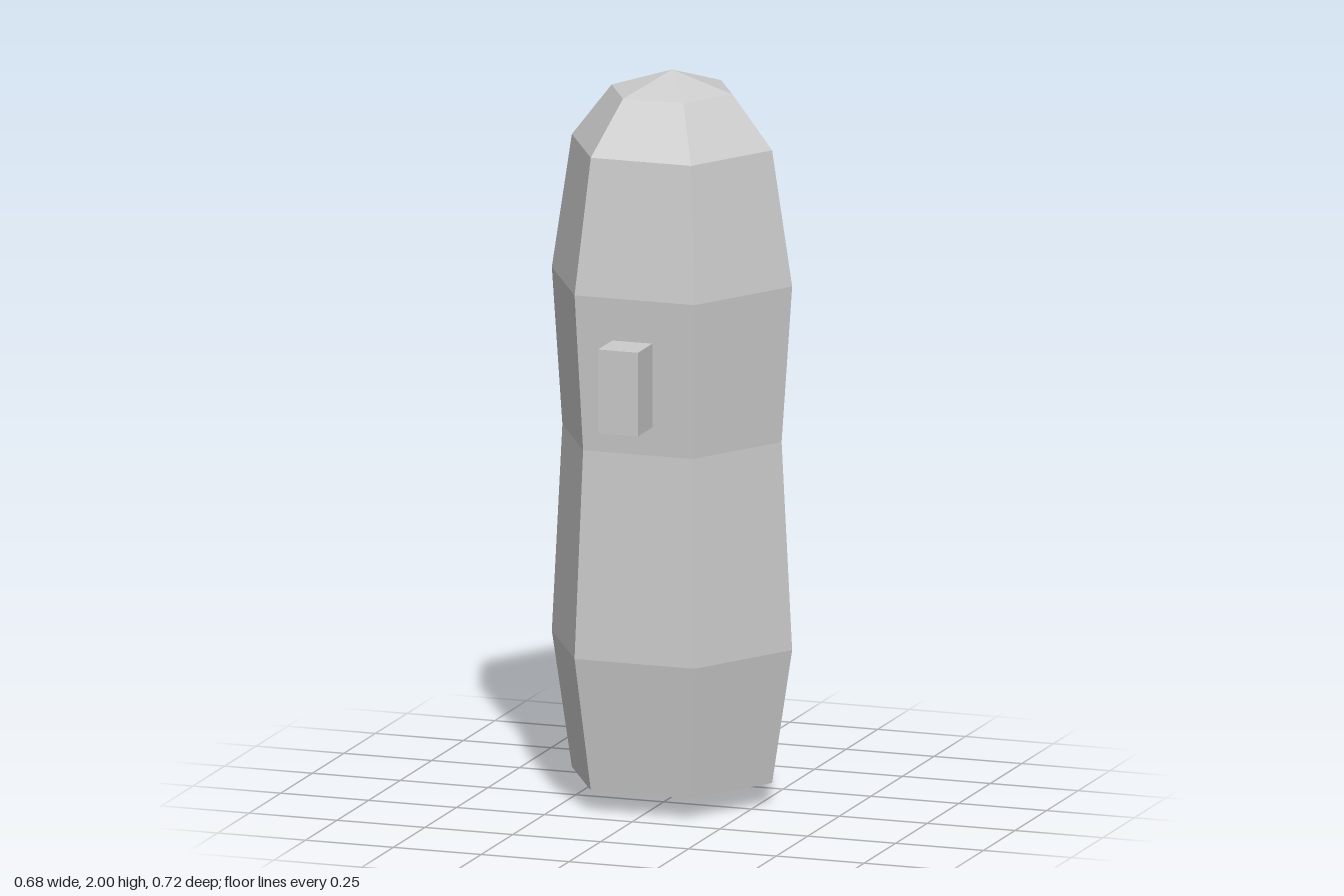
import * as THREE from 'three';

export function createModel() {
  const group = new THREE.Group();
  const grey = new THREE.MeshStandardMaterial({ color: 0xcccccc, flatShading: true });
  grey.name = 'light grey';

  // Six-sided body with a slight waist, pointed base and domed top
  const profile = [
    [0, 0], [0.285, 0.06], [0.342, 0.43], [0.312, 1.0],
    [0.342, 1.43], [0.285, 1.8], [0.172, 1.945], [0, 2],
  ].map(([r, y]) => new THREE.Vector2(r, y));
  const body = new THREE.Mesh(new THREE.LatheGeometry(profile, 6, Math.PI / 2), grey);
  body.name = 'body';
  body.position.z = -0.066;
  group.add(body);

  // Small block floating in front of the body
  const block = new THREE.Mesh(new THREE.BoxGeometry(0.114, 0.23, 0.114), grey);
  block.name = 'frontBlock';
  block.position.set(0, 1.204, 0.305);
  group.add(block);

  return group;
}
